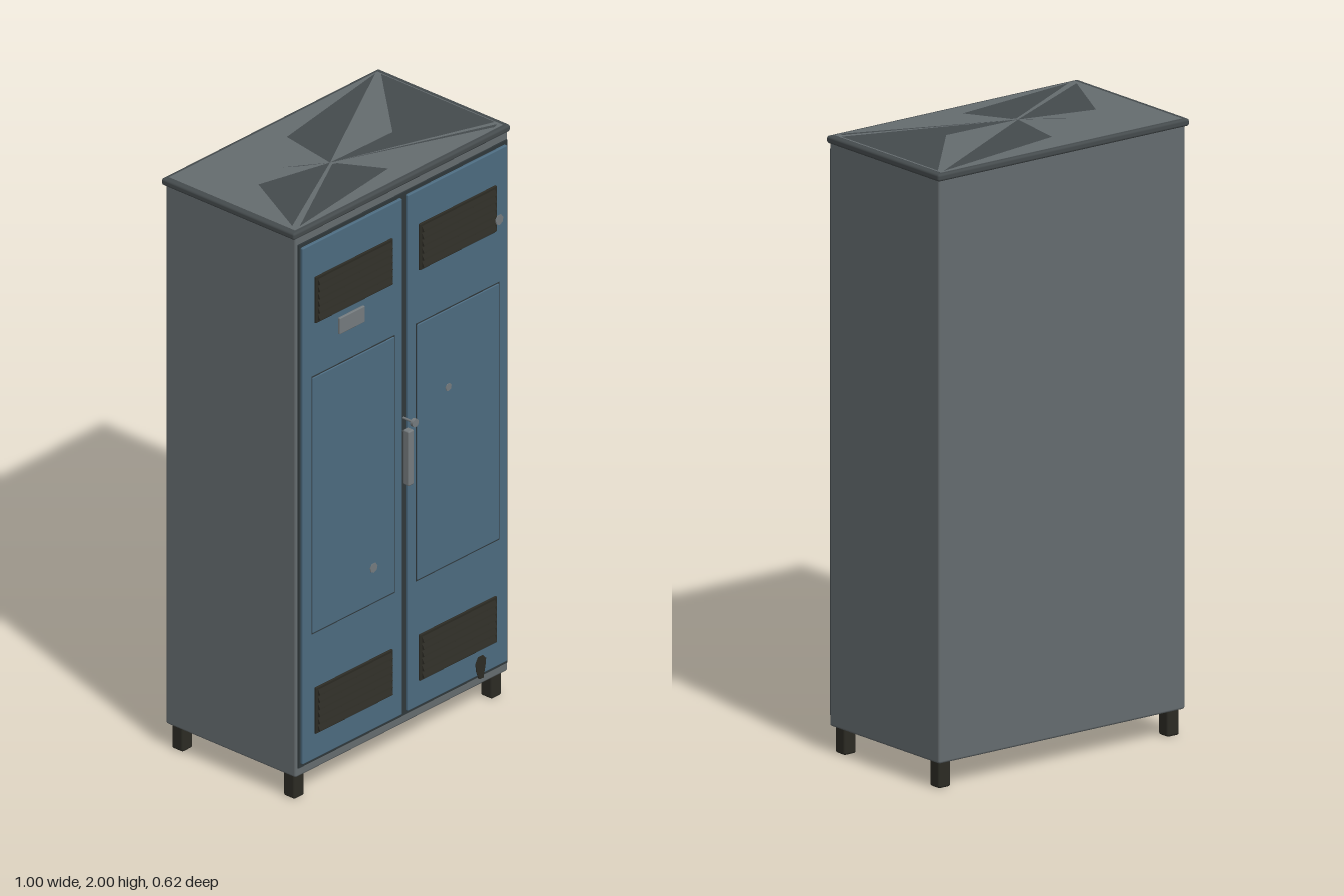
import * as THREE from 'three';
import { RoundedBoxGeometry } from 'three/addons/geometries/RoundedBoxGeometry.js';

const mat = (name, color) => {
  const m = new THREE.MeshStandardMaterial({ color });
  m.name = name;
  return m;
};

export function createModel() {
  const steel = mat('grey steel', 0x656c6f);
  const trim = mat('dark trim', 0x454b4d);
  const blue = mat('blue paint', 0x4c6b80);
  const gap = mat('shadow gap', 0x30383b);
  const black = mat('black metal', 0x2c2b24);
  const bare = mat('bare metal', 0x757b7e);

  const root = new THREE.Group();
  root.name = 'locker';

  const add = (name, geometry, material, x, y, z, parent = root) => {
    const m = new THREE.Mesh(geometry, material);
    m.name = name;
    m.position.set(x, y, z);
    parent.add(m);
    return m;
  };
  // box given by its limits, with optional rounded edges
  const box = (name, material, [x0, x1], [y0, y1], [z0, z1], r = 0, parent = root) => {
    const s = [x1 - x0, y1 - y0, z1 - z0];
    const g = r ? new RoundedBoxGeometry(...s, 2, r) : new THREE.BoxGeometry(...s);
    return add(name, g, material, (x0 + x1) / 2, (y0 + y1) / 2, (z0 + z1) / 2, parent);
  };

  // cabinet and cap
  box('cabinet', steel, [-0.49, 0.49], [0.085, 1.982], [-0.3, 0.247], 0.008);
  box('cap', trim, [-0.5, 0.5], [1.974, 1.998], [-0.31, 0.25], 0.008);
  box('capPanel', steel, [-0.48, 0.48], [1.99, 1.999], [-0.295, 0.235]);

  // worn dark patches radiating over the cap, as [x, z] corners
  const hub = [-0.072, 0.01];
  const patches = [
    [hub, [-0.035, -0.205], [0.465, -0.29]],
    [hub, [0.21, 0.015], [0.475, -0.275], [0.475, 0.205]],
    [hub, [0.47, 0.22], [0.45, 0.228]],
    [[-0.06, 0.028], [0.02, 0.17], [-0.45, 0.228], [-0.075, 0.022]],
    [hub, [-0.33, -0.055], [-0.465, 0.21]],
    [hub, [-0.198, -0.08], [-0.15, -0.04]],
  ];
  for (const p of patches) {
    const s = new THREE.Shape(p.map(([x, z]) => new THREE.Vector2(x, -z)));
    add('capPatch', new THREE.ShapeGeometry(s).rotateX(-Math.PI / 2), trim, 0, 2, 0);
  }

  // feet
  for (const x of [-0.455, 0.455])
    for (const z of [-0.262, 0.208])
      box('foot', black, [x - 0.024, x + 0.024], [0, 0.1], [z - 0.024, z + 0.024], 0.008);

  // dark recess showing round the doors
  box('doorRecess', gap, [-0.482, 0.482], [0.118, 1.952], [0.235, 0.252]);

  // louvre slat: a wedge run along x
  const wedge = new THREE.Shape([
    new THREE.Vector2(0, -0.011),
    new THREE.Vector2(0.009, -0.009),
    new THREE.Vector2(0.007, -0.004),
    new THREE.Vector2(0, 0.009),
  ]);
  const slatLength = 0.335;
  const slat = new THREE.ExtrudeGeometry(wedge, { depth: slatLength, bevelEnabled: false })
    .translate(0, 0, -slatLength / 2)
    .rotateY(-Math.PI / 2);

  // doors with pressed panels and louvred vents
  for (const side of [-1, 1]) {
    const door = new THREE.Group();
    door.name = side < 0 ? 'rightDoor' : 'leftDoor';
    root.add(door);
    const span = (a, b) => (side < 0 ? [-b, -a] : [a, b]);
    box('doorLeaf', blue, span(0.014, 0.472), [0.13, 1.94], [0.24, 0.261], 0.004, door);
    box('panelSeam', gap, span(0.051, 0.433), [0.572, 1.476], [0.25, 0.262], 0, door);
    box('pressedPanel', blue, span(0.054, 0.43), [0.576, 1.472], [0.25, 0.265], 0.003, door);
    for (const y of [0.3, 1.74]) {
      box('ventPlate', black, span(0.063, 0.418), [y - 0.081, y + 0.081], [0.25, 0.267], 0.003, door);
      for (let i = 0; i < 6; i++)
        add('ventSlat', slat, black, side * 0.2405, y + (i - 2.5) * 0.025, 0.267, door);
    }
  }

  // name plate
  box('namePlate', bare, [-0.311, -0.195], [1.58, 1.637], [0.26, 0.27], 0.003);

  // handle and lock
  box('handle', bare, [-0.013, 0.013], [0.938, 1.13], [0.262, 0.289], 0.005);
  box('handleBase', trim, [-0.009, 0.009], [0.95, 1.12], [0.245, 0.27]);
  const disc = (r, h, n) => new THREE.CylinderGeometry(r, r, h, n).rotateX(Math.PI / 2);
  add('lockDisc', disc(0.014, 0.011, 16), bare, 0, 1.163, 0.3015);
  add('lockStem', disc(0.004, 0.05, 8), bare, 0, 1.163, 0.275);

  // paint chips
  const chips = [
    [0.195, 1.2, 0.0135, 0.266],
    [-0.152, 0.7, 0.017, 0.266],
    [0.417, 1.705, 0.018, 0.277],
  ];
  for (const [x, y, r, z] of chips) add('paintChip', disc(r, 0.003, 7), bare, x, y, z);
  const rust = new THREE.Shape([
    [-0.008, -0.038], [0.012, -0.04], [0.022, 0.005], [0.024, 0.025],
    [0.01, 0.04], [-0.012, 0.04], [-0.024, 0.02], [-0.02, -0.01],
  ].map(([x, y]) => new THREE.Vector2(x, y)));
  add('wornPatch', new THREE.ExtrudeGeometry(rust, { depth: 0.003, bevelEnabled: false }),
    black, 0.348, 0.156, 0.26);
  return root;
}
